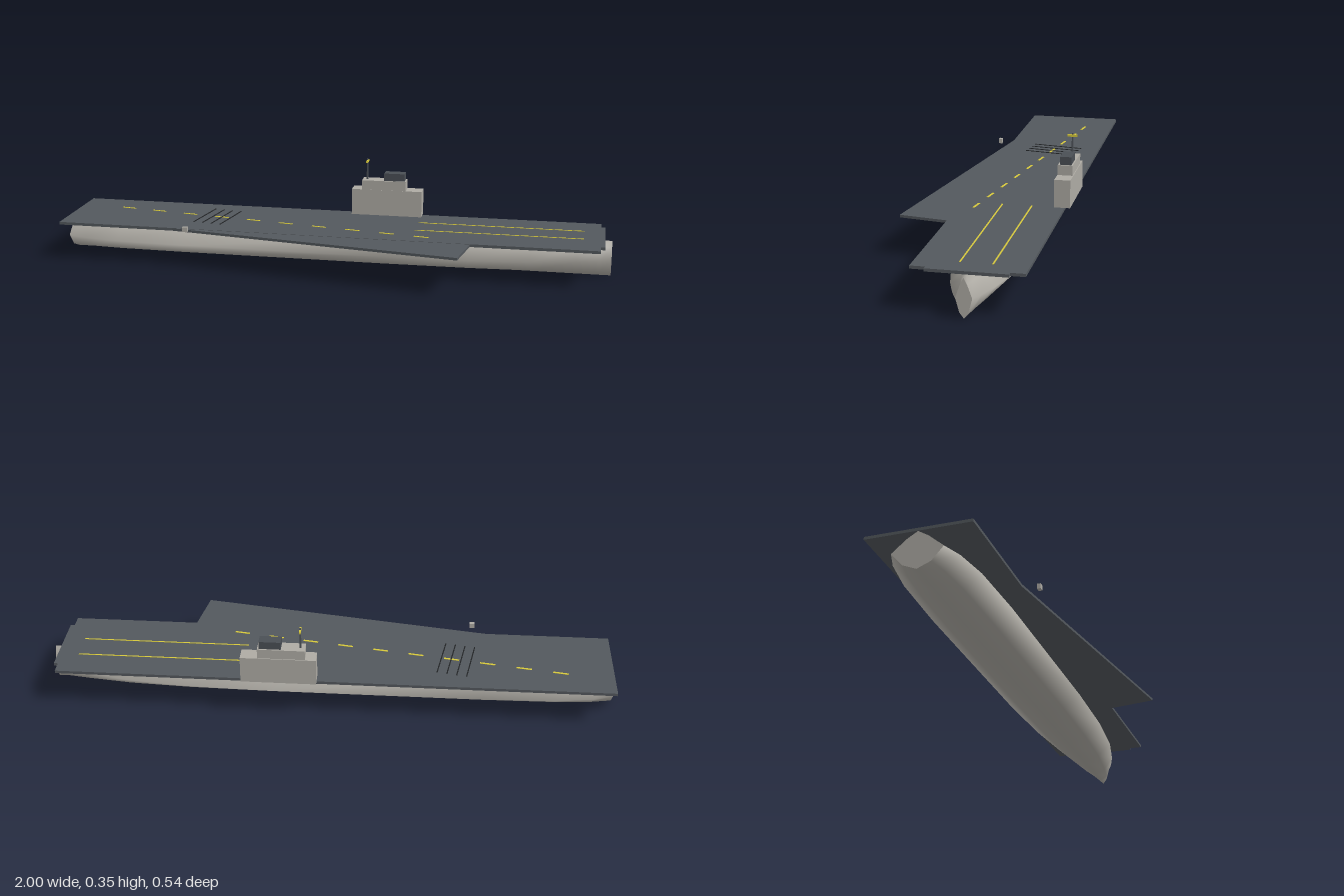
import * as THREE from 'three';

const material = (name, color, side = THREE.FrontSide) => {
  const m = new THREE.MeshStandardMaterial({ color, side });
  m.name = name;
  return m;
};

// Hull lofted from eight-sided cross-sections: [x, half width]
function hullGeometry() {
  const stations = [[-1, 0.085], [-0.93, 0.11], [-0.8, 0.13], [-0.55, 0.139], [0.2, 0.139],
    [0.5, 0.13], [0.72, 0.108], [0.88, 0.072], [0.96, 0.045], [1, 0.026]];
  const ring = [[1, 0], [0.42, 0.66], [0, 1], [-0.42, 0.66], [-1, 0], [-0.54, -0.7], [0, -1], [0.54, -0.7]];
  const n = ring.length, pos = [], idx = [];
  const addRing = ([x, w]) => ring.forEach(([z, y]) => pos.push(x, 0.066 + y * 0.064, -0.074 + z * w));
  stations.forEach(addRing);
  for (let i = 0; i < stations.length - 1; i++) {
    for (let j = 0; j < n; j++) {
      const a = i * n + j, d = i * n + (j + 1) % n;
      idx.push(a, a + n, d + n, a, d + n, d);
    }
  }
  // flat transom and stem, with their own corners
  [0, stations.length - 1].forEach((s) => {
    const base = pos.length / 3;
    addRing(stations[s]);
    for (let j = 1; j < n - 1; j++) {
      if (s === 0) idx.push(base, base + j, base + j + 1);
      else idx.push(base, base + j + 1, base + j);
    }
  });
  const g = new THREE.BufferGeometry();
  g.setAttribute('position', new THREE.Float32BufferAttribute(pos, 3));
  g.setIndex(idx);
  g.computeVertexNormals();
  return g;
}

export function createModel() {
  const model = new THREE.Group();
  model.name = 'aircraftCarrier';

  const hullGrey = material('hull grey', 0xaeaba4);
  const deckGrey = material('deck grey', 0x53585d);
  const bridgeDark = material('bridge dark grey', 0x4a4f55);
  const yellow = material('marking yellow', 0xd6c83c);
  const wireBlack = material('wire black', 0x222426);

  const add = (name, geometry, mat, parent = model) => {
    const mesh = new THREE.Mesh(geometry, mat);
    mesh.name = name;
    parent.add(mesh);
    return mesh;
  };
  // Box given by its limits on each axis
  const box = (name, mat, [x0, x1], [y0, y1], [z0, z1], parent = model) => {
    const mesh = add(name, new THREE.BoxGeometry(x1 - x0, y1 - y0, z1 - z0), mat, parent);
    mesh.position.set((x0 + x1) / 2, (y0 + y1) / 2, (z0 + z1) / 2);
    return mesh;
  };

  add('hull', hullGeometry(), hullGrey);

  // Flight deck
  const deckY = [0.131, 0.141], top = deckY[1];
  box('flightDeck', deckGrey, [-1, 0.96], deckY, [-0.252, 0.102]);
  box('bowLip', deckGrey, [0.96, 0.975], deckY, [-0.205, 0.053]);

  // Overhang of the angled landing deck
  const outline = [[-0.58, 0.1], [0.485, 0.271], [0.512, 0.1]];
  const overhang = new THREE.Shape(outline.map(([x, z]) => new THREE.Vector2(x, -z)));
  const overhangGeometry = new THREE.ExtrudeGeometry(overhang, { depth: 0.009, bevelEnabled: false });
  overhangGeometry.rotateX(-Math.PI / 2);
  add('angledDeck', overhangGeometry, deckGrey).position.y = deckY[0];

  // Catapult tracks
  [-0.14, -0.038].forEach((z) => {
    box('catapultTrack', yellow, [0.3, 0.9], [top, top + 0.0012], [z - 0.0025, z + 0.0025]);
  });

  // Landing runway markings, laid along the angled centre line
  const runway = new THREE.Group();
  runway.name = 'runwayMarkings';
  runway.position.set(-0.24, top, -0.047);
  runway.rotation.y = -0.16;
  model.add(runway);
  for (let i = 0; i < 10; i++) {
    const x = (i - 4.5) * 0.129;
    box('centreDash', yellow, [x - 0.027, x + 0.027], [0, 0.0012], [-0.004, 0.004], runway);
  }
  for (let i = 0; i < 4; i++) {
    const x = -0.262 + i * 0.035;
    box('arrestorWire', wireBlack, [x - 0.002, x + 0.002], [0, 0.002], [-0.096, 0.096], runway);
  }

  // Island
  const island = new THREE.Group();
  island.name = 'island';
  model.add(island);
  box('islandBase', hullGrey, [0.037, 0.3], [top, 0.238], [-0.271, -0.216], island);
  box('islandUpper', hullGrey, [0.075, 0.24], [0.238, 0.273], [-0.268, -0.217], island);
  box('bridge', bridgeDark, [0.158, 0.234], [0.273, 0.301], [-0.263, -0.223], island);

  // Mast and radar bar
  const mast = add('mast', new THREE.CylinderGeometry(0.0025, 0.004, 0.077, 8), bridgeDark, island);
  mast.position.set(0.092, 0.3115, -0.243);
  box('radarBar', yellow, [0.089, 0.095], [0.337, 0.345], [-0.26, -0.225], island);

  // Landing light beside the angled deck
  box('landingLight', hullGrey, [-0.515, -0.497], [0.142, 0.16], [0.137, 0.15]);

  return model;
}
